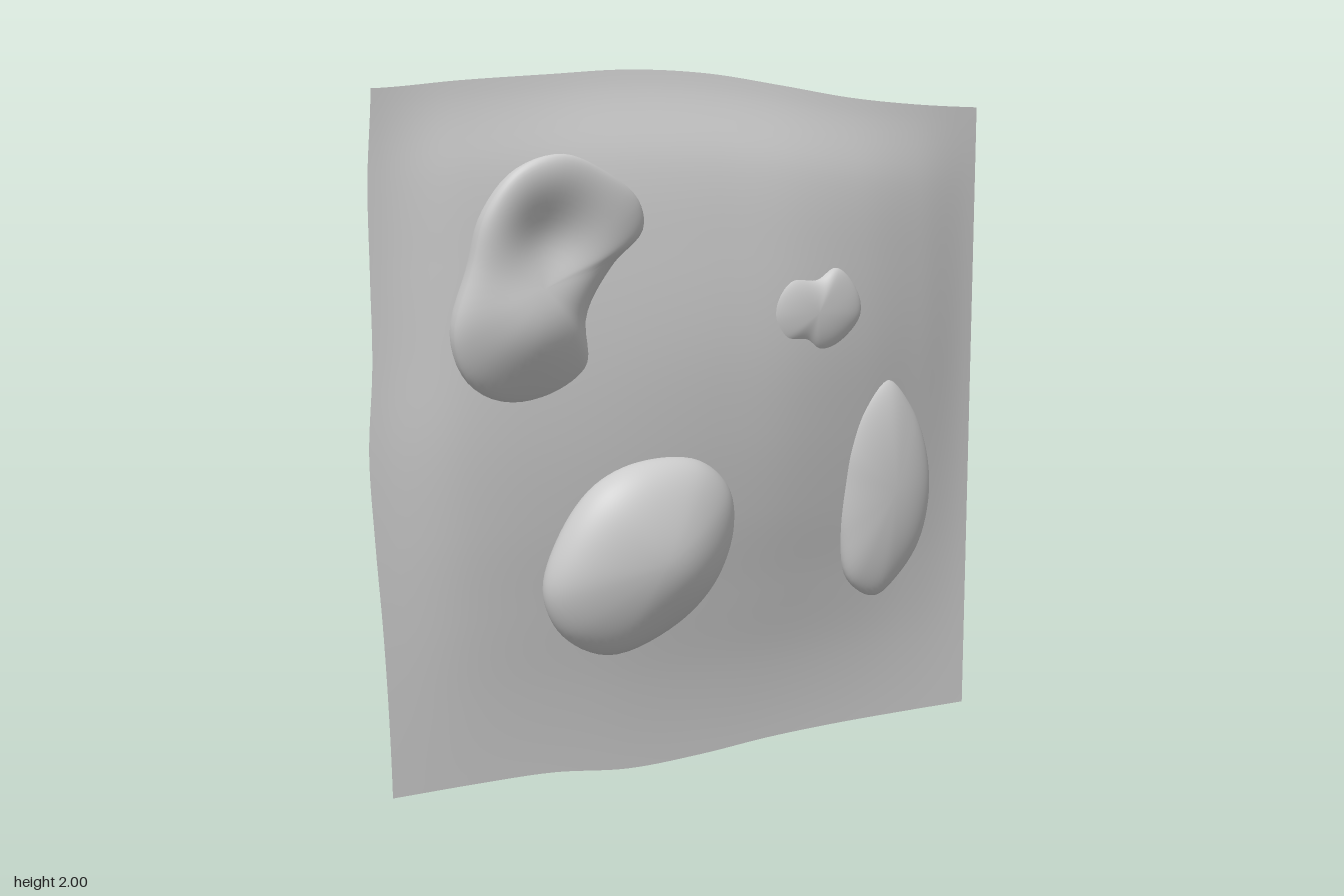
import * as THREE from 'three';
import { mergeVertices } from 'three/addons/utils/BufferGeometryUtils.js';

const grey = new THREE.MeshStandardMaterial({ color: 0xcccccc });
const greyThin = new THREE.MeshStandardMaterial({ color: 0xcccccc, side: THREE.DoubleSide });

// Smooth function of t in 0..1 through evenly spaced values
function profile(values) {
  const curve = new THREE.SplineCurve(values.map((v, i) => new THREE.Vector2(i, v)));
  return (t) => curve.getPoint(t).y;
}

// Thin wavy sheet, domed towards the front, with gently wandering edges
function makeSheet() {
  const left = profile([-0.93, -0.935, -0.945, -0.96, -0.97, -0.955, -0.955, -0.955, -0.94]);
  const top = profile([1.935, 1.96, 1.98, 1.998, 1.993, 1.965, 1.935, 1.92, 1.915]);
  const bottom = profile([0.035, 0.035, 0.03, 0.003, 0.008, 0.025, 0.033, 0.035, 0.035]);
  const domeX = profile([0, 0.4, 0.65, 0.84, 0.95, 0.98, 0.78, 0.4, 0]);
  const ridgeZ = profile([-0.11, -0.085, -0.035, 0.02, 0.06, 0.08, 0.07, 0.035, -0.055]);
  const geo = new THREE.PlaneGeometry(1, 1, 64, 64);
  const p = geo.attributes.position;
  for (let i = 0; i < p.count; i++) {
    const u = p.getX(i) + 0.5, v = p.getY(i) + 0.5;
    const edge = -0.105 + 0.01 * v;
    p.setXYZ(i,
      THREE.MathUtils.lerp(left(v), 0.96, u),
      THREE.MathUtils.lerp(bottom(u), top(u), v),
      edge + domeX(u) * (ridgeZ(v) - edge));
  }
  geo.computeVertexNormals();
  const mesh = new THREE.Mesh(geo, greyThin);
  mesh.name = 'wavySheet';
  return mesh;
}

// Rounded lump: a sphere stretched to an outline (clockwise from its left side).
// rimZ and tilt place the widest ring, front and back are the depths,
// bumps are [x, y, radius, height] on the front face.
function makeLump({ name, center, outline, rimZ, tilt, front, back, bumps = [] }) {
  const pts = outline.map(([x, y]) => new THREE.Vector3(x, y, 0)).reverse();
  const rim = new THREE.CatmullRomCurve3(pts, true, 'centripetal');
  const [cx, cy] = center;
  let geo = new THREE.SphereGeometry(1, 72, 40).rotateX(Math.PI / 2);
  geo.deleteAttribute('uv');
  geo.deleteAttribute('normal');
  geo = mergeVertices(geo, 1e-4);
  const p = geo.attributes.position;
  for (let i = 0; i < p.count; i++) {
    const r = Math.hypot(p.getX(i), p.getY(i)), s = p.getZ(i);
    const t = Math.atan2(p.getY(i), p.getX(i)) / (2 * Math.PI) + 0.5;
    const e = rim.getPoint(t % 1);
    const x = cx + r * (e.x - cx), y = cy + r * (e.y - cy);
    let z = rimZ + tilt * (y - cy) + s * (s > 0 ? front : back);
    if (s > 0) {
      for (const [bx, by, br, h] of bumps) {
        z += h * s * Math.exp(-((x - bx) ** 2 + (y - by) ** 2) / (br * br));
      }
    }
    p.setXYZ(i, x, y, z);
  }
  geo.computeVertexNormals();
  const mesh = new THREE.Mesh(geo, grey);
  mesh.name = name;
  return mesh;
}

const lumps = [
  {
    name: 'kidneyLump', center: [-0.55, 1.42], rimZ: 0.035, tilt: 0.2, front: 0.075, back: 0.2,
    outline: [[-0.77, 1.3], [-0.73, 1.48], [-0.7, 1.62], [-0.62, 1.73], [-0.5, 1.77], [-0.38, 1.73],
      [-0.27, 1.65], [-0.25, 1.57], [-0.33, 1.48], [-0.4, 1.34], [-0.385, 1.18], [-0.46, 1.12],
      [-0.6, 1.105], [-0.72, 1.17]],
    bumps: [[-0.58, 1.28, 0.14, 0.04], [-0.52, 1.56, 0.13, -0.07]],
  },
  {
    name: 'largeLump', center: [-0.23, 0.66], rimZ: 0.005, tilt: 0.1, front: 0.14, back: 0.135,
    outline: [[-0.52, 0.58], [-0.48, 0.73], [-0.38, 0.87], [-0.25, 0.93], [-0.07, 0.925], [0.03, 0.84],
      [0.05, 0.72], [0, 0.57], [-0.12, 0.45], [-0.32, 0.38], [-0.46, 0.45]],
    bumps: [[-0.15, 0.64, 0.16, 0.025]],
  },
  {
    name: 'smallLump', center: [0.29, 1.325], rimZ: 0.055, tilt: 0.03, front: 0.04, back: 0.075,
    outline: [[0.13, 1.31], [0.15, 1.375], [0.21, 1.425], [0.3, 1.42], [0.37, 1.45], [0.44, 1.38],
      [0.45, 1.31], [0.38, 1.235], [0.31, 1.21], [0.26, 1.235], [0.17, 1.24]],
  },
  {
    name: 'tallLump', center: [0.59, 0.78], rimZ: -0.02, tilt: 0.05, front: 0.075, back: 0.09,
    outline: [[0.43, 0.8], [0.435, 0.93], [0.48, 1.05], [0.58, 1.115], [0.67, 1.03], [0.73, 0.9],
      [0.75, 0.75], [0.72, 0.6], [0.65, 0.5], [0.57, 0.445], [0.48, 0.5], [0.44, 0.65]],
  },
];

export function createModel() {
  const model = new THREE.Group();
  model.name = 'sheetWithLumps';
  model.add(makeSheet(), ...lumps.map(makeLump));
  return model;
}
